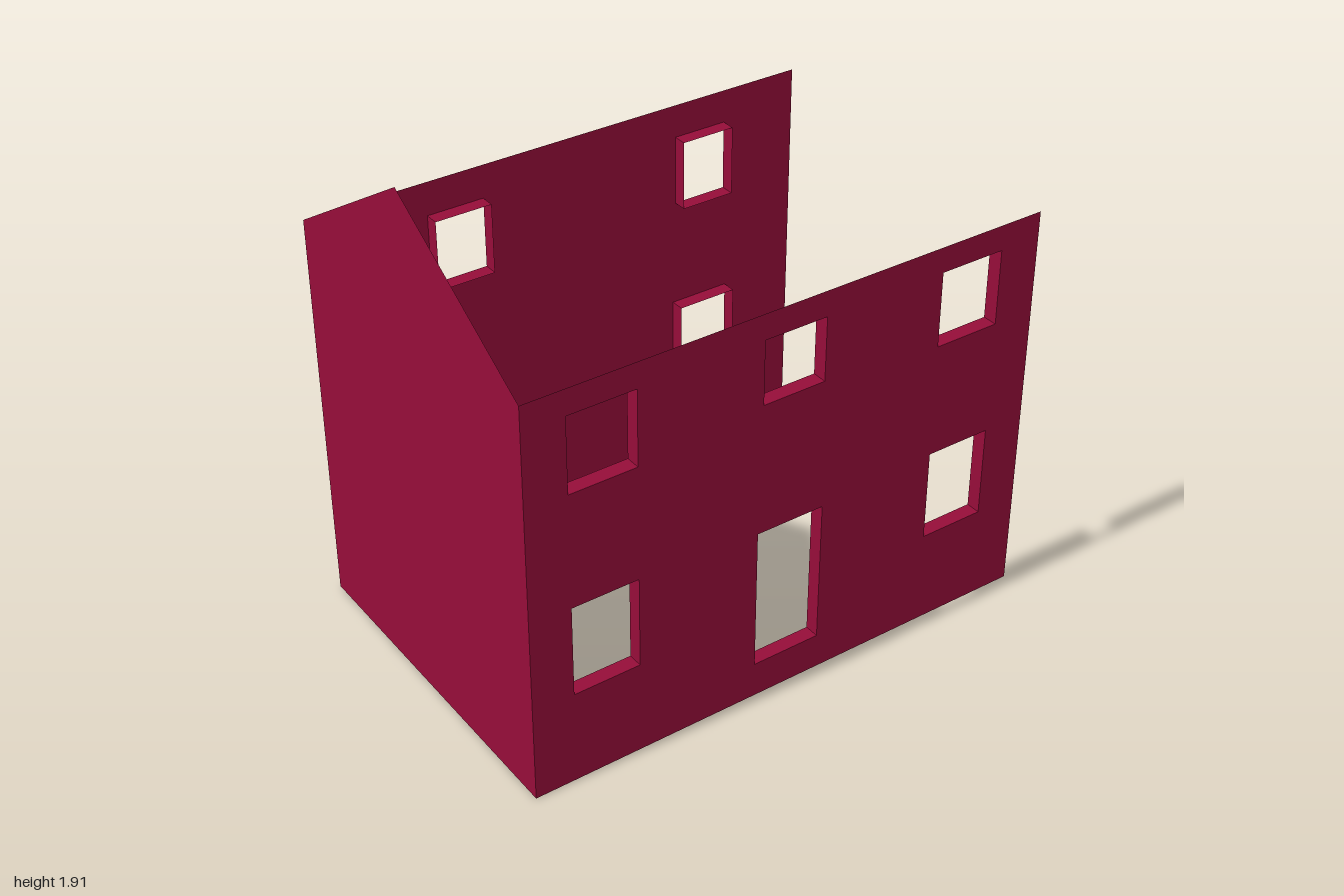
import * as THREE from 'three';
import { mergeGeometries } from 'three/addons/utils/BufferGeometryUtils.js';

const EAVE = 1.505, RIDGE = 1.915, HALF_W = 1, HALF_D = 0.665, REVEAL = 0.055;

// Openings as [x0, x1, y0, y1]
const frontOpenings = {
  upperRightWindow: [-0.845, -0.595, 1.13, 1.41],
  upperMiddleWindow: [-0.122, 0.118, 1.172, 1.41],
  upperLeftWindow: [0.59, 0.84, 1.13, 1.41],
  lowerRightWindow: [-0.845, -0.595, 0.357, 0.702],
  frontDoor: [-0.133, 0.13, 0.135, 0.678],
  lowerLeftWindow: [0.59, 0.84, 0.357, 0.702],
};
const backOpenings = {
  upperRightWindow: [-0.547, -0.328, 1.11, 1.378],
  upperLeftWindow: [0.475, 0.69, 1.11, 1.378],
  backDoor: [-0.555, -0.32, 0.135, 0.67],
  lowerLeftWindow: [0.465, 0.704, 0.398, 0.69],
};

function rectangle(path, [x0, x1, y0, y1]) {
  path.moveTo(x0, y0);
  path.lineTo(x1, y0);
  path.lineTo(x1, y1);
  path.lineTo(x0, y1);
  path.closePath();
  return path;
}

// Four thin faces lining an opening, running from z to z + depth
function revealGeometry([x0, x1, y0, y1], z, depth) {
  const w = x1 - x0, h = y1 - y0, d = Math.abs(depth);
  const cx = (x0 + x1) / 2, cy = (y0 + y1) / 2, cz = z + depth / 2;
  const face = (a, b, rx, ry, x, y) =>
    new THREE.PlaneGeometry(a, b).rotateX(rx).rotateY(ry).translate(x, y, cz);
  const q = Math.PI / 2;
  return mergeGeometries([
    face(w, d, -q, 0, cx, y0), // sill
    face(w, d, q, 0, cx, y1), // head
    face(d, h, 0, q, x0, cy), // jambs
    face(d, h, 0, -q, x1, cy),
  ]);
}

export function createModel() {
  const model = new THREE.Group();
  model.name = 'houseShell';
  const crimson = new THREE.MeshStandardMaterial({ color: 0x960d39, side: THREE.DoubleSide });
  crimson.name = 'crimson';

  function add(parent, name, geometry) {
    const mesh = new THREE.Mesh(geometry, crimson);
    mesh.name = name;
    parent.add(mesh);
  }

  // Long walls: single sheets with openings whose reveals project inwards
  function longWall(name, openings, side) {
    const group = new THREE.Group();
    group.name = name;
    const shape = rectangle(new THREE.Shape(), [-HALF_W, HALF_W, 0, EAVE]);
    for (const [part, rect] of Object.entries(openings)) {
      shape.holes.push(rectangle(new THREE.Path(), rect));
      add(group, part + 'Reveal', revealGeometry(rect, side * HALF_D, -side * REVEAL));
    }
    const sheet = new THREE.ShapeGeometry(shape);
    if (side < 0) {
      // Turn the back sheet outwards by reversing its faces
      const index = sheet.index;
      for (let i = 0; i < index.count; i += 3) {
        const a = index.getX(i);
        index.setX(i, index.getX(i + 2));
        index.setX(i + 2, a);
      }
      sheet.computeVertexNormals();
    }
    add(group, name + 'Sheet', sheet.translate(0, 0, side * HALF_D));
    model.add(group);
  }
  longWall('frontWall', frontOpenings, 1);
  longWall('backWall', backOpenings, -1);

  // Gable closing the right end; the left end, roof and floor are open
  const gable = new THREE.Shape();
  gable.moveTo(-HALF_D, 0);
  gable.lineTo(HALF_D, 0);
  gable.lineTo(HALF_D, EAVE);
  gable.lineTo(0, RIDGE);
  gable.lineTo(-HALF_D, EAVE);
  gable.closePath();
  add(model, 'gableWall',
    new THREE.ShapeGeometry(gable).rotateY(-Math.PI / 2).translate(-HALF_W, 0, 0));

  return model;
}
